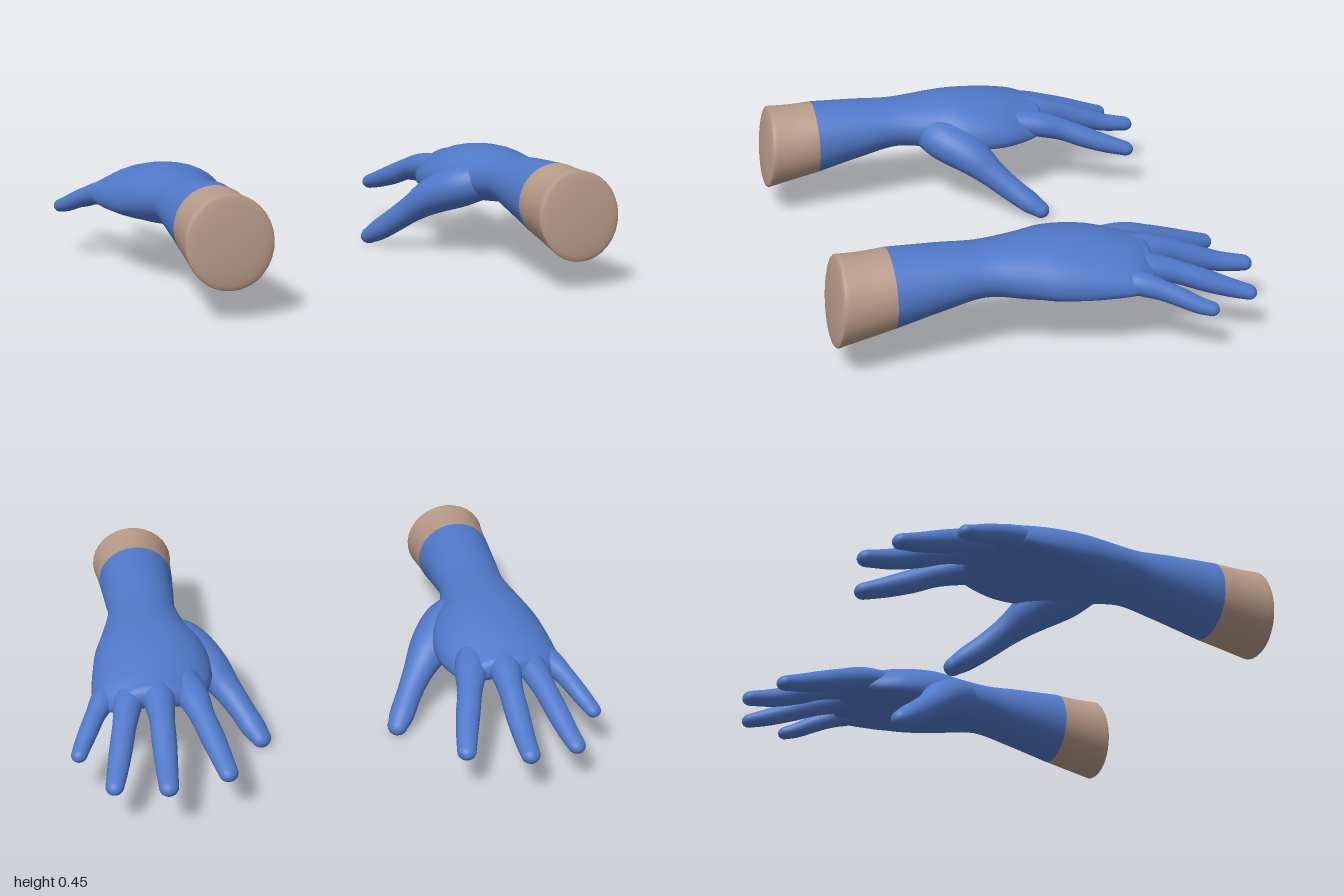
import * as THREE from 'three';

const SIDES = 32;

// Skin a path of elliptical sections and close its far end with a dome.
// station: [x, y, z, half width, half height, arch]
function loft(stations, { depth, flat = false } = {}) {
  const path = new THREE.CatmullRomCurve3(
    stations.map(s => new THREE.Vector3(s[0], s[1], s[2])), false, 'catmullrom', 0.5);
  const size = new THREE.CatmullRomCurve3(
    stations.map(s => new THREE.Vector3(s[3], s[4], s[5] || 0)), false, 'catmullrom', 0.5);
  const pos = [], index = [];
  const up = new THREE.Vector3(0, 1, 0);
  const direction = t => {
    const d = path.getTangent(t);
    return flat ? new THREE.Vector3(0, 0, Math.sign(d.z)) : d;
  };

  const addRing = (p, d, s) => {
    const side = new THREE.Vector3().crossVectors(d, up).normalize();
    const top = new THREE.Vector3().crossVectors(side, d);
    const power = 1 - 3 * s.z; // arched sections are also squarer
    for (let i = 0; i < SIDES; i++) {
      const a = (i / SIDES) * Math.PI * 2;
      const c = Math.sign(Math.cos(a)) * Math.abs(Math.cos(a)) ** power;
      const n = Math.sign(Math.sin(a)) * Math.abs(Math.sin(a)) ** power;
      const v = p.clone().addScaledVector(side, s.x * c).addScaledVector(top, s.y * n);
      pos.push(v.x, v.y - s.z * c * c, v.z);
    }
  };

  const steps = (stations.length - 1) * 6;
  for (let i = 0; i <= steps; i++) {
    const t = i / steps;
    addRing(path.getPoint(t), direction(t), size.getPoint(t));
  }

  // Domed end
  const end = path.getPoint(1), d = direction(1), last = size.getPoint(1);
  const reach = depth ?? last.x;
  const domeRings = 7;
  for (let k = 1; k < domeRings; k++) {
    const a = (k / domeRings) * Math.PI / 2, c = Math.cos(a);
    const s = new THREE.Vector3(last.x * c, last.y * c, last.z);
    addRing(end.clone().addScaledVector(d, reach * Math.sin(a)), d, s.setZ(last.z * c * c));
  }
  const apex = pos.length / 3;
  const tip = end.clone().addScaledVector(d, reach);
  pos.push(tip.x, tip.y, tip.z);

  const rings = apex / SIDES;
  for (let r = 0; r < rings; r++) {
    for (let i = 0; i < SIDES; i++) {
      const j = (i + 1) % SIDES;
      const a = r * SIDES + i, b = r * SIDES + j;
      if (r === rings - 1) index.push(a, apex, b);
      else index.push(a, a + SIDES, b, b, a + SIDES, b + SIDES);
    }
  }
  const geo = new THREE.BufferGeometry();
  geo.setAttribute('position', new THREE.Float32BufferAttribute(pos, 3));
  geo.setIndex(index);
  geo.computeVertexNormals();
  return geo;
}

// Mirrored copy across x = 0, with corner order restored
function mirrored(geo) {
  const g = geo.clone().scale(-1, 1, 1);
  const ix = g.index.array;
  for (let i = 0; i < ix.length; i += 3) [ix[i + 1], ix[i + 2]] = [ix[i + 2], ix[i + 1]];
  return g;
}

// Forearm end, with its end face leaning back at the top
function cuffGeometry() {
  const geo = loft([
    [0.675, 0.303, 0.59, 0.15, 0.148],
    [0.677, 0.29, 0.69, 0.155, 0.157],
    [0.678, 0.281, 0.785, 0.163, 0.169],
  ], { depth: 0.018, flat: true });
  const p = geo.attributes.position;
  for (let i = 0; i < p.count; i++) {
    const k = (p.getZ(i) - 0.59) / 0.2;
    p.setZ(i, p.getZ(i) - 0.1 * k * (p.getY(i) - 0.28));
  }
  geo.computeVertexNormals();
  return geo;
}

// Wrist and arched palm
const palm = [
  [0.675, 0.303, 0.59, 0.15, 0.148, 0],
  [0.675, 0.322, 0.40, 0.14, 0.118, 0],
  [0.675, 0.331, 0.25, 0.135, 0.097, 0],
  [0.675, 0.328, 0.10, 0.172, 0.105, 0.015],
  [0.668, 0.332, 0.00, 0.21, 0.103, 0.035],
  [0.668, 0.336, -0.10, 0.227, 0.092, 0.05],
  [0.675, 0.336, -0.20, 0.229, 0.077, 0.058],
  [0.69, 0.328, -0.29, 0.212, 0.062, 0.055],
  [0.68, 0.322, -0.35, 0.175, 0.05, 0.045],
];

const digits = {
  thumb: [
    [0.60, 0.31, 0.13, 0.07, 0.07],
    [0.525, 0.285, 0.06, 0.095, 0.085],
    [0.445, 0.235, -0.03, 0.085, 0.075],
    [0.385, 0.175, -0.10, 0.061, 0.056],
    [0.335, 0.116, -0.17, 0.05, 0.049],
    [0.295, 0.067, -0.235, 0.049, 0.044],
    [0.27, 0.039, -0.275, 0.04, 0.034],
  ],
  indexFinger: [
    [0.57, 0.325, -0.18, 0.05, 0.045],
    [0.535, 0.305, -0.34, 0.06, 0.052],
    [0.508, 0.275, -0.45, 0.047, 0.045],
    [0.483, 0.24, -0.54, 0.046, 0.043],
    [0.46, 0.208, -0.63, 0.041, 0.037],
    [0.443, 0.185, -0.705, 0.036, 0.03],
  ],
  middleFinger: [
    [0.665, 0.335, -0.20, 0.05, 0.05],
    [0.662, 0.32, -0.36, 0.06, 0.052],
    [0.66, 0.29, -0.48, 0.047, 0.045],
    [0.662, 0.25, -0.58, 0.046, 0.043],
    [0.664, 0.215, -0.68, 0.041, 0.037],
    [0.666, 0.195, -0.778, 0.036, 0.03],
  ],
  ringFinger: [
    [0.73, 0.33, -0.20, 0.05, 0.045],
    [0.772, 0.305, -0.34, 0.056, 0.05],
    [0.798, 0.272, -0.46, 0.045, 0.043],
    [0.82, 0.235, -0.56, 0.043, 0.041],
    [0.84, 0.202, -0.65, 0.039, 0.035],
    [0.857, 0.18, -0.722, 0.034, 0.028],
  ],
  littleFinger: [
    [0.80, 0.305, -0.16, 0.045, 0.04],
    [0.862, 0.286, -0.29, 0.048, 0.046],
    [0.90, 0.265, -0.365, 0.038, 0.038],
    [0.93, 0.24, -0.43, 0.036, 0.035],
    [0.956, 0.216, -0.485, 0.033, 0.031],
    [0.973, 0.202, -0.53, 0.03, 0.026],
  ],
};

export function createModel() {
  const glove = new THREE.MeshStandardMaterial({ color: 0x5079c9 });
  glove.name = 'glove blue';
  const skin = new THREE.MeshStandardMaterial({ color: 0xb89a88 });
  skin.name = 'forearm tan';

  const parts = [
    ['forearm', cuffGeometry(), skin],
    ['wristAndPalm', loft(palm, { depth: 0.035, flat: true }), glove],
    ...Object.entries(digits).map(([name, stations]) => [name, loft(stations), glove]),
  ];

  const model = new THREE.Group();
  model.name = 'glovedHands';
  for (const side of ['left', 'right']) {
    const hand = new THREE.Group();
    hand.name = side + 'Hand';
    for (const [name, geo, material] of parts) {
      const mesh = new THREE.Mesh(side === 'left' ? geo : mirrored(geo), material);
      mesh.name = name;
      hand.add(mesh);
    }
    model.add(hand);
  }
  return model;
}
